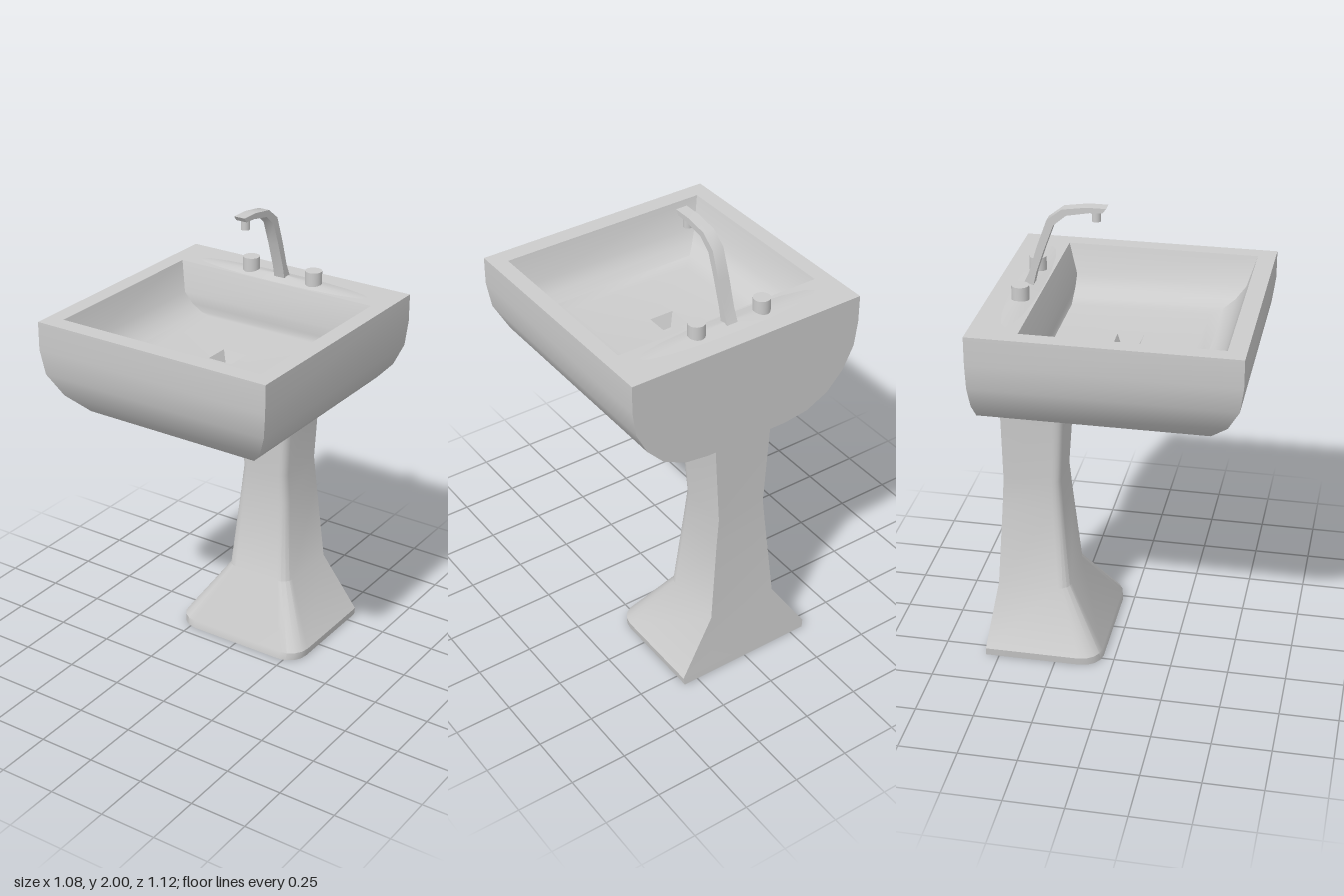
import * as THREE from 'three';
import { toCreasedNormals } from 'three/addons/utils/BufferGeometryUtils.js';

const material = new THREE.MeshStandardMaterial({ color: 0xcccccc });

function part(name, geometry, parent) {
  const mesh = new THREE.Mesh(geometry, material);
  mesh.name = name;
  parent.add(mesh);
  return mesh;
}

// Skin a stack of equal-length rings (counter-clockwise from above), capped at both ends.
function loft(rings, crease) {
  const pos = [];
  const tri = (a, b, c) => pos.push(...a, ...b, ...c);
  const n = rings[0].length;
  for (let r = 0; r < rings.length - 1; r++) {
    const a = rings[r], b = rings[r + 1];
    for (let i = 0; i < n; i++) {
      const j = (i + 1) % n;
      tri(a[i], a[j], b[j]);
      tri(a[i], b[j], b[i]);
    }
  }
  const first = rings[0], last = rings[rings.length - 1];
  for (let i = 1; i < n - 1; i++) {
    tri(first[0], first[i + 1], first[i]);
    tri(last[0], last[i], last[i + 1]);
  }
  const g = new THREE.BufferGeometry();
  g.setAttribute('position', new THREE.Float32BufferAttribute(pos, 3));
  return toCreasedNormals(g, crease);
}

// Rectangular ring: half width, back z, front z, height
const rect = ([w, back, front, y]) => [[-w, y, front], [w, y, front], [w, y, back], [-w, y, back]];

// Ring with square back corners and rounded front corners
function pedestalRing([y, w, back, front, rx, rz]) {
  const corner = [0, 0.25, 0.5, 0.75, 1].map((t) => {
    const a = t * Math.PI / 2;
    return [w - rx + rx * Math.sin(a), y, front - rz + rz * Math.cos(a)];
  });
  const mirrored = corner.map(([x, h, z]) => [-x, h, z]).reverse();
  return [...mirrored, ...corner, [w, y, back], [-w, y, back]];
}

export function createModel() {
  const model = new THREE.Group();
  model.name = 'pedestalSink';

  // Basin: curved outside, flat rim, bowl and drain in one continuous skin
  const outside = [
    [0.19, 1.165], [0.3, 1.18], [0.4, 1.23], [0.475, 1.31],
    [0.525, 1.41], [0.54, 1.52], [0.54, 1.64],
  ].map(([w, y]) => [w, -0.53, w + 0.02, y]);
  const inside = [
    [0.47, -0.33, 0.485, 1.64],
    [0.43, -0.29, 0.445, 1.515],
    [0.39, -0.29, 0.405, 1.47],
    [0.345, -0.29, 0.36, 1.443],
    [0.29, -0.285, 0.305, 1.432],
    [0.055, -0.04, 0.07, 1.425],
    [0.027, -0.013, 0.042, 1.37],
  ];
  part('basin', loft([...outside, ...inside].map(rect), 0.65), model);

  // Pedestal: height, half width, back z, front z, corner radii
  const pedestal = [
    [0, 0.315, -0.56, -0.05, 0.09, 0.09],
    [0.035, 0.32, -0.557, -0.055, 0.09, 0.09],
    [0.28, 0.16, -0.53, -0.215, 0.05, 0.05],
    [0.65, 0.125, -0.51, -0.25, 0.035, 0.04],
    [0.78, 0.112, -0.505, -0.26, 0.03, 0.035],
    [1.18, 0.137, -0.505, -0.235, 0.03, 0.045],
  ].map(pedestalRing);
  part('pedestal', loft(pedestal, 0.6), model);

  // Slight swell in the deck under the taps
  const swell = new THREE.ConeGeometry(1, 0.016, 16, 1, true);
  swell.scale(0.42, 1, 0.06);
  part('deckSwell', swell, model).position.set(0, 1.648, -0.395);

  // Spout: side outline (z, y) extruded across the width
  const outline = [
    [-0.42, 1.64], [-0.39, 1.705], [-0.355, 1.82], [-0.313, 1.936], [-0.25, 1.985],
    [-0.15, 2], [-0.07, 2], [-0.085, 1.98], [-0.138, 1.978], [-0.233, 1.96],
    [-0.286, 1.915], [-0.325, 1.81], [-0.36, 1.705], [-0.375, 1.64],
  ].map(([z, y]) => new THREE.Vector2(z, y));
  const spout = new THREE.ExtrudeGeometry(new THREE.Shape(outline), { depth: 0.05, bevelEnabled: false });
  spout.rotateY(-Math.PI / 2).translate(0.025, 0, 0);
  part('spout', toCreasedNormals(spout, 0.6), model);
  part('nozzle', new THREE.CylinderGeometry(0.019, 0.019, 0.045, 16), model).position.set(0, 1.9605, -0.114);

  // Tap knobs
  for (const side of [-1, 1]) {
    const knob = part(side > 0 ? 'leftKnob' : 'rightKnob', new THREE.CylinderGeometry(0.036, 0.036, 0.065, 24), model);
    knob.position.set(side * 0.155, 1.6725, -0.395);
  }
  return model;
}
